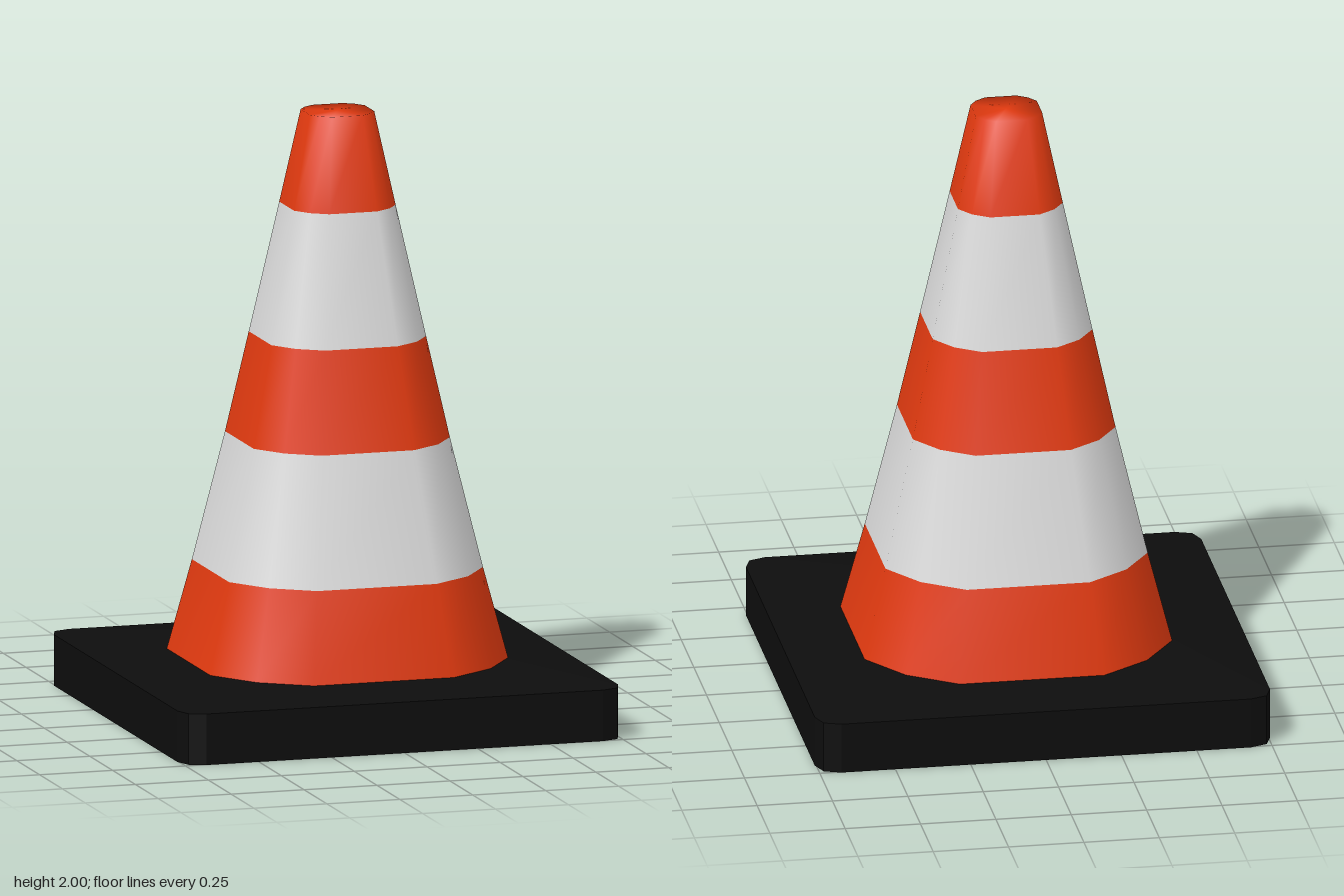
import * as THREE from 'three';

// Twelve-sided rounded-square ring, counter-clockwise seen from above.
// s and d set the end of the flat side and the corner point, relative to half.
function ring([y, half, s, d]) {
  const points = [];
  for (let q = 0; q < 4; q++) {
    for (let [x, z] of [[1, -s], [d, -d], [s, -1]]) {
      for (let k = 0; k < q; k++) [x, z] = [z, -x];
      points.push(x * half, y, z * half);
    }
  }
  return points;
}

// Joins rings from bottom to top; each band is a group with its own material.
function loft(rings, bandMaterials, capBottom) {
  const n = 12, index = [], geometry = new THREE.BufferGeometry();
  const positions = rings.flatMap(ring);
  const last = rings.length - 1;
  for (let r = 0; r < last; r++) {
    geometry.addGroup(index.length, n * 6, bandMaterials[r]);
    for (let i = 0; i < n; i++) {
      const a = r * n + i, b = r * n + (i + 1) % n;
      index.push(a, b, b + n, a, b + n, a + n);
    }
  }
  // Closing caps
  const cap = (r, up) => {
    const centre = positions.length / 3;
    positions.push(0, rings[r][0], 0);
    geometry.addGroup(index.length, n * 3, bandMaterials[Math.min(r, last - 1)]);
    for (let i = 0; i < n; i++) {
      const a = r * n + i, b = r * n + (i + 1) % n;
      index.push(centre, up ? a : b, up ? b : a);
    }
  };
  cap(last, true);
  if (capBottom) cap(0, false);
  geometry.setAttribute('position', new THREE.Float32BufferAttribute(positions, 3));
  geometry.setIndex(index);
  return geometry;
}

export function createModel() {
  const material = (name, color) => {
    const m = new THREE.MeshStandardMaterial({ color });
    m.name = name;
    return m;
  };
  const orange = material('orange plastic', 0xe23a10);
  const white = material('white band', 0xdcdcdc);
  const black = material('black rubber', 0x0d0d0d);
  const model = new THREE.Group();
  model.name = 'trafficCone';

  // Base slab, rising slightly towards the foot of the cone
  const baseGeometry = loft([
    [0, 0.755, 0.9, 0.973],
    [0.17, 0.755, 0.9, 0.973],
    [0.19, 0.51, 0.47, 0.785],
  ], [0, 0], true).toNonIndexed();
  baseGeometry.clearGroups();
  baseGeometry.computeVertexNormals();
  const base = new THREE.Mesh(baseGeometry, black);
  base.name = 'base';
  model.add(base);

  // Tapered body with alternating bands, smooth all over
  const profile = [[0.19, 0.51], [0.49, 0.435], [0.92, 0.336], [1.255, 0.265], [1.69, 0.174], [2, 0.11]];
  const bodyGeometry = loft(profile.map(([y, half]) => [y, half, 0.47, 0.785]), [0, 1, 0, 1, 0], false);
  bodyGeometry.computeVertexNormals();
  const body = new THREE.Mesh(bodyGeometry, [orange, white]);
  body.name = 'coneBody';
  body.position.set(0.007, 0, -0.007);
  model.add(body);

  return model;
}
